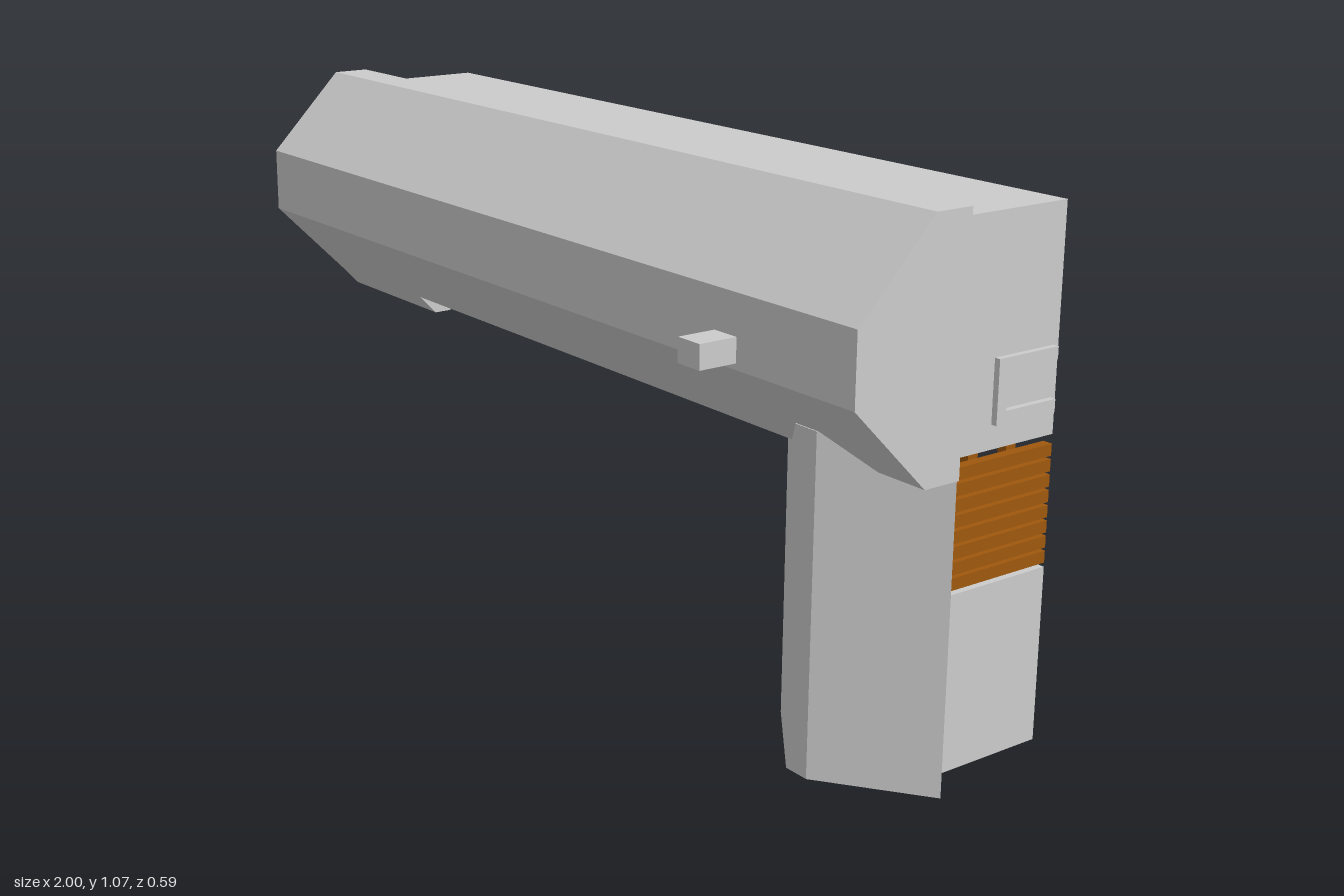
import * as THREE from 'three';

const mat = (color) => new THREE.MeshStandardMaterial({ color, flatShading: true });
const grey = mat(0xcccccc), copper = mat(0x9f580e), black = mat(0x080808);

export function createModel() {
  const model = new THREE.Group();

  const add = (name, geometry, material = grey, parent = model) => {
    const mesh = new THREE.Mesh(geometry, material);
    mesh.name = name;
    parent.add(mesh);
    return mesh;
  };
  const group = (name) => {
    const g = new THREE.Group();
    g.name = name;
    model.add(g);
    return g;
  };
  // box given by its limits on each axis
  const box = (name, [x0, x1], [y0, y1], [z0, z1], material, parent) =>
    add(name, new THREE.BoxGeometry(x1 - x0, y1 - y0, z1 - z0)
      .translate((x0 + x1) / 2, (y0 + y1) / 2, (z0 + z1) / 2), material, parent);
  // plan outline [x, z] extruded from y0 to y1
  const slab = (name, plan, y0, y1, holes = [], parent) => {
    const pts = (list) => list.map(([x, z]) => new THREE.Vector2(x, -z));
    const shape = new THREE.Shape(pts(plan));
    holes.forEach((h) => shape.holes.push(new THREE.Path(pts(h))));
    const geo = new THREE.ExtrudeGeometry(shape, { depth: y1 - y0, bevelEnabled: false });
    return add(name, geo.rotateX(-Math.PI / 2).translate(0, y0, 0), grey, parent);
  };
  // side profile [z, y] extruded from x0 to x1
  const profile = (name, side, x0, x1) => {
    const shape = new THREE.Shape(side.map(([z, y]) => new THREE.Vector2(-z, y)));
    const geo = new THREE.ExtrudeGeometry(shape, { depth: x1 - x0, bevelEnabled: false });
    return add(name, geo.rotateY(Math.PI / 2).translate(x0, 0, 0));
  };
  const rect = (x0, x1, z0, z1) => [[x0, z0], [x1, z0], [x1, z1], [x0, z1]];

  const back = -0.295, joint = -0.03, side = 0.965, under = 0.695;

  // faceted front cover with its short lower lip
  profile('frontCover', [[joint, 1.07], [0.05, 1.07], [0.215, 0.9], [0.215, 0.763], [0.05, 0.597], [joint, 0.597]], -1, 1);
  profile('coverLip', [[joint, 0.597], [0.05, 0.597], [0.01, 0.555], [joint, 0.555]], -1, -0.635);
  box('frontButton', [0.64, 0.7], [0.775, 0.822], [0.2, 0.295]);

  // rear housing: main block, stepped underside, low block at the far end
  box('rearHousing', [-side, side], [under, 1.045], [back, joint]);
  box('endBlock', [-side, -0.645], [0.555, under], [back, joint]);
  slab('steppedUnderside', [
    [0, back], [0.733, back], [0.733, -0.135], [0.853, -0.135],
    [0.853, back], [side, back], [side, joint], [0, joint],
  ], 0.622, under, [rect(0.1, 0.22, -0.27, -0.15), rect(0.365, 0.525, -0.2, -0.085)]);

  // grille in the underside
  const grille = group('undersideGrille');
  box('grilleBack', [0.365, 0.525], [0.65, 0.66], [-0.2, -0.085], black, grille);
  const frame = new THREE.Shape([[0.345, 0.07], [0.545, 0.07], [0.545, 0.215], [0.345, 0.215]]
    .map((p) => new THREE.Vector2(...p)));
  frame.holes.push(new THREE.Path([[0.36, 0.08], [0.53, 0.08], [0.53, 0.205], [0.36, 0.205]]
    .map((p) => new THREE.Vector2(...p))));
  add('grilleFrame', new THREE.ExtrudeGeometry(frame, { depth: 0.004, bevelEnabled: false })
    .rotateX(-Math.PI / 2).translate(0, 0.619, 0), grey, grille);
  for (const x of [0.375, 0.39, 0.5, 0.515])
    box('grilleBar', [x - 0.003, x + 0.003], [0.619, 0.624], [-0.205, -0.08], grey, grille);

  // copper pads below and on the step of the end block
  box('socketPad', [-0.245, -0.125], [under - 0.006, under + 0.01], [-0.28, -0.16], copper);
  box('undersidePad', [-0.57, -0.44], [under - 0.004, under + 0.01], [-0.285, -0.15], copper);
  box('endPad', [-0.945, -0.815], [0.551, 0.56], [-0.275, -0.145], copper);
  box('stepPad', [-0.65, -0.641], [0.58, 0.67], [-0.285, -0.145], copper);

  // pins along the socket pad and one separate stud
  const stud = (name, x, z, r) =>
    add(name, new THREE.CylinderGeometry(r, r, 0.025, 10).translate(x, under - 0.01, z));
  for (let i = 0; i < 4; i++) stud('socketPin', -0.23 + i * 0.03, -0.15, 0.009);
  stud('stud', -0.32, -0.175, 0.013);

  // leg: faceted front trim, rear block with a corner notch, wall behind the vent
  slab('legTrim', [[0.56, joint], [0.745, 0.115], [0.8, 0.115], [0.995, joint]], 0, 0.66);
  const legPlan = rect(0.585, side, back, joint);
  const leg = group('legBlock');
  slab('legBase', legPlan, 0.028, 0.255, [], leg);
  slab('legNotch', [[0.69, back], [side, back], [side, joint], [0.585, joint], [0.585, -0.15], [0.69, -0.15]],
    0.255, 0.322, [], leg);
  slab('legTop', legPlan, 0.322, 0.37, [], leg);
  box('legWall', [0.585, side], [0.37, 0.622], [-0.056, joint], grey, leg);

  // side vent: copper slats tied by two uprights
  const vent = group('sideVent');
  for (let i = 0; i < 8; i++) {
    const y = 0.378 + i * 0.029;
    box('ventSlat', [0.945, side], [y, y + 0.023], [back, -0.058], copper, vent);
  }
  for (const z of [-0.118, -0.212])
    box('ventUpright', [0.925, 0.945], [0.378, 0.622], [z - 0.012, z + 0.012], copper, vent);

  // C-shaped bracket on the side, open to the rear
  const bracket = [[-0.138, 0.668], [-0.138, 0.788], [-0.283, 0.788], [-0.283, 0.766],
    [-0.16, 0.766], [-0.16, 0.692], [-0.283, 0.692], [-0.283, 0.668]];
  profile('sideBracket', bracket, side - 0.005, 0.977);

  return model;
}
